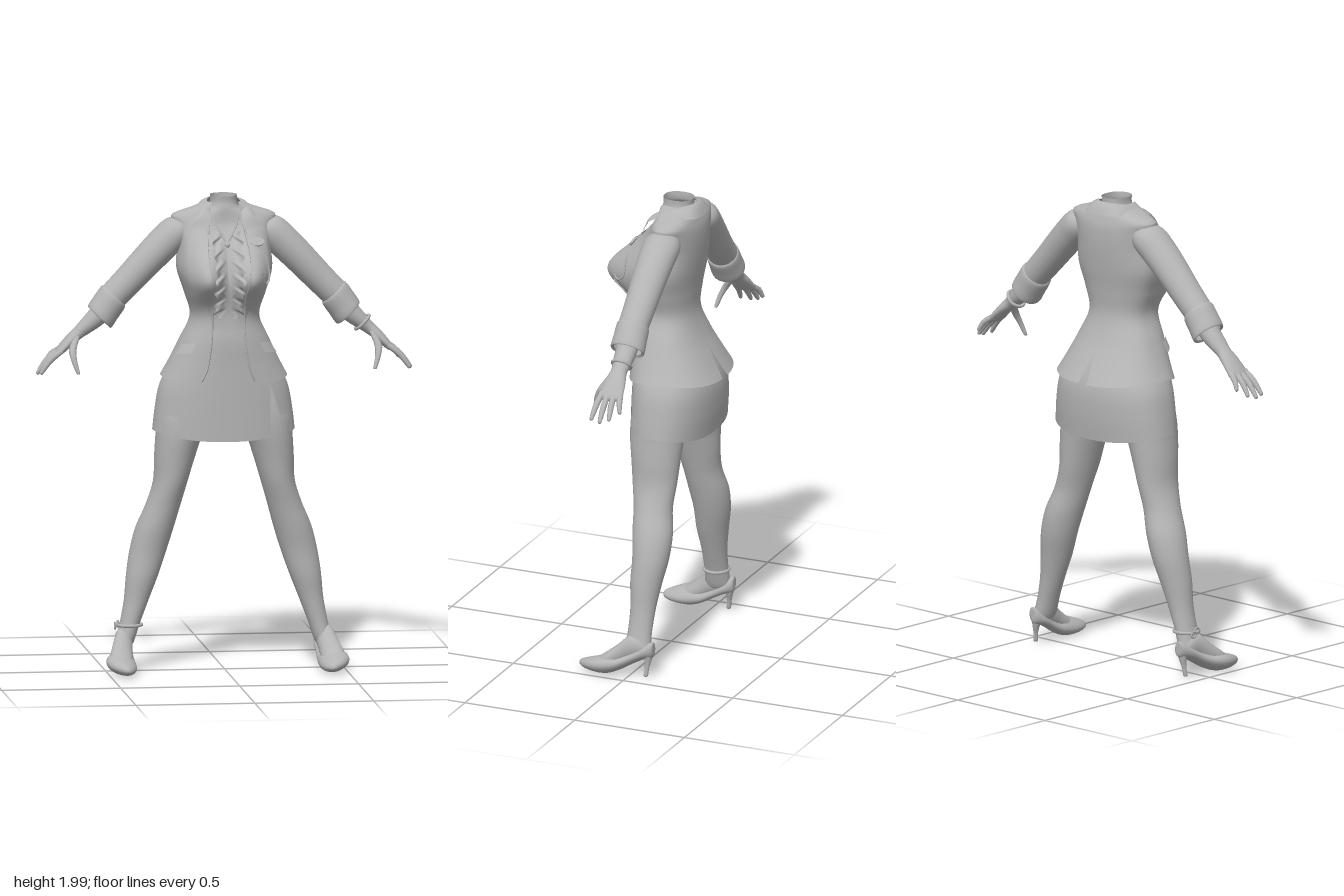
import * as THREE from 'three';
import { mergeGeometries, mergeVertices } from 'three/addons/utils/BufferGeometryUtils.js';

const clay = new THREE.MeshStandardMaterial({ color: 0xb4b4b4, side: THREE.DoubleSide });
clay.name = 'warm grey';
const V = (x, y, z) => new THREE.Vector3(x, y, z);
const E = 0.87; // ring squareness

// smooth interpolation of rows keyed by their first value
function at(rows, k) {
  k = Math.min(Math.max(k, rows[0][0]), rows[rows.length - 1][0]);
  let i = 0;
  while (i < rows.length - 2 && k > rows[i + 1][0]) i++;
  const a = rows[i], b = rows[i + 1], p = rows[i - 1] || a, n = rows[i + 2] || b;
  const h = b[0] - a[0], t = (k - a[0]) / h, t2 = t * t, t3 = t2 * t;
  return a.map((v, j) => {
    const m0 = (b[j] - p[j]) / (b[0] - p[0]), m1 = (n[j] - v) / (n[0] - a[0]);
    return (2 * t3 - 3 * t2 + 1) * v + (t3 - 2 * t2 + t) * h * m0 + (3 * t2 - 2 * t3) * b[j] + (t3 - t2) * h * m1;
  });
}

// sheet of points fn(u, v)
function grid(fn, nu, nv) {
  const pos = [], idx = [], r = nu + 1;
  for (let j = 0; j <= nv; j++) for (let i = 0; i <= nu; i++) pos.push(...fn(i / nu, j / nv).toArray());
  for (let j = 0; j < nv; j++) for (let i = 0; i < nu; i++) {
    const a = j * r + i;
    idx.push(a, a + 1, a + r, a + 1, a + r + 1, a + r);
  }
  const g = new THREE.BufferGeometry();
  g.setAttribute('position', new THREE.Float32BufferAttribute(pos, 3));
  g.setIndex(idx);
  return weld(g);
}
function weld(g) {
  g.deleteAttribute('normal');
  const w = mergeVertices(g, 1e-5);
  w.computeVertexNormals();
  return w;
}
function mirror(g) {
  const m = g.clone().scale(-1, 1, 1), ix = m.index.array;
  for (let i = 0; i < ix.length; i += 3) [ix[i], ix[i + 1]] = [ix[i + 1], ix[i]];
  return weld(m);
}
// tube of elliptical sections [x, y, z, ra, rb] spanned by axes A and B
function loft(rows, A, B, seg = 24, steps = 4) {
  const keyed = rows.map((r, i) => [i, ...r]), n = rows.length - 1;
  const dir = V(...rows[n].slice(0, 3)).sub(V(...rows[0].slice(0, 3)));
  const s = A.clone().cross(B).dot(dir) < 0 ? -1 : 1;
  return grid((u, v) => {
    const [, x, y, z, ra, rb] = at(keyed, v * n), t = u * Math.PI * 2 * s;
    return V(x, y, z).addScaledVector(A, Math.cos(t) * Math.max(ra, 0)).addScaledVector(B, Math.sin(t) * Math.max(rb, 0));
  }, seg, n * steps);
}

// torso rows: y, half width, centre z, front z, back z
const jacketRows = [
  [1.22, .278, -.04, .145, -.248], [1.3, .235, -.03, .145, -.2], [1.4, .187, -.02, .145, -.145],
  [1.5, .145, -.01, .135, -.112], [1.6, .17, -.01, .13, -.116], [1.7, .2, -.02, .105, -.13],
  [1.8, .195, -.03, .08, -.14], [1.88, .205, -.04, .05, -.14], [1.92, .215, -.045, .03, -.13],
  [1.95, .13, -.04, .03, -.12], [1.975, .07, -.035, .035, -.108]];
const shirtRows = [
  ...jacketRows.slice(2, 8).map(([y, w, c, f, b]) => [y, w - .012, c, f - .012, b + .012]),
  [1.915, .15, -.04, .035, -.115], [1.95, .068, -.036, .034, -.102], [1.975, .056, -.036, .028, -.099], [2, .056, -.036, .03, -.1]];
const skirtRows = [
  [.98, .3, -.04, .132, -.2], [1.1, .287, -.04, .132, -.212], [1.2, .268, -.04, .132, -.208],
  [1.3, .222, -.03, .132, -.175], [1.4, .173, -.02, .133, -.13], [1.46, .143, -.01, .126, -.1]];

// point on a torso ring; angle 0 is the front, PI/2 is +x
function ring(rows, y, th, off = 0) {
  const [, w, zc, zf, zb] = at(rows, y), s = Math.sin(th), c = Math.cos(th);
  const x = (w + off) * Math.sign(s) * Math.abs(s) ** E;
  let z = zc + ((c > 0 ? zf - zc : zc - zb) + off) * Math.sign(c) * Math.abs(c) ** E;
  if (c > 0 && y > 1.4) {
    const dy = (y - 1.68) / (y > 1.68 ? .13 : .1), dx = (Math.abs(x) - .1) / .09;
    z += .135 * Math.exp(-dx * dx - dy * dy) * Math.min(1, c * 2);
  }
  return V(x, y, z);
}
const angle = (rows, y, x) => Math.sign(x) * Math.asin(Math.min(.98, Math.abs(x) / at(rows, y)[1]) ** (1 / E));
const onRing = (rows, x, y, off) => ring(rows, y, angle(rows, y, x), off);
const gapRows = [[1.22, .125], [1.26, .098], [1.35, .078], [1.45, .068], [1.6, .07], [1.75, .09], [1.87, .075], [1.975, .055]];
const gap = y => at(gapRows, y)[1];

export function createModel() {
  const model = new THREE.Group();
  const add = (name, g) => {
    const m = new THREE.Mesh(g, clay);
    m.name = name;
    model.add(m);
    return m;
  };
  const pair = (name, g) => { add('left' + name, g); add('right' + name, mirror(g)); };
  const tube = (pts, r, n = 24) => new THREE.TubeGeometry(new THREE.CatmullRomCurve3(pts), n, r, 6);

  // jacket: two halves, open in front, vent at the back
  const half = grid((u, v) => {
    const hem = 1.225 + .02 * Math.sin(u * Math.PI) ** 2;
    const y = hem + (1.975 - hem) * v;
    const a = angle(jacketRows, y, gap(y)), b = Math.PI - Math.max(0, (1.35 - y) * .5);
    return ring(jacketRows, y, a + (b - a) * u);
  }, 40, 64);
  add('jacket', weld(mergeGeometries([half, mirror(half)])));

  // shirt with neck, skirt with a slit
  add('shirtAndNeck', grid((u, v) => ring(shirtRows, 1.4 + .6 * v, u * Math.PI * 2), 72, 56));
  add('skirt', grid((u, v) => {
    const g = .07 * Math.max(0, 1 - v / .49);
    const y0 = 1 + .46 * v;
    const a = angle(skirtRows, y0, .18 * Math.min(1, at(skirtRows, y0)[1] / .27) + g);
    const b = angle(skirtRows, y0, .18 * Math.min(1, at(skirtRows, y0)[1] / .27)) + Math.PI * 2;
    const th = a + (b - a) * u;
    const p = ring(skirtRows, y0, th);
    p.y += (.015 - .035 * Math.cos(th) ** 2) * (1 - v) ** 3;
    return p;
  }, 80, 36));
  add('waistband', grid((u, v) => ring(skirtRows, 1.425 + .035 * v, u * Math.PI * 2, .006), 60, 2));

  // collar band round the neck
  const sweep = h => new THREE.CatmullRomCurve3([...h.slice(1).reverse().map(p => V(-p.x, p.y, p.z)), ...h]);
  const inner = sweep([V(0, 1.985, -.112), V(.05, 1.983, -.092), V(.072, 1.968, -.03), V(.066, 1.925, .05), onRing(jacketRows, .07, 1.865, .02)]);
  const outer = sweep([V(0, 1.935, -.15), V(.085, 1.94, -.132), V(.118, 1.945, -.04), V(.128, 1.915, .05), onRing(jacketRows, .145, 1.865, .02)]);
  add('collar', grid((u, v) => {
    const p = inner.getPoint(u).lerp(outer.getPoint(u), v);
    p.y += .012 * Math.sin(v * Math.PI);
    return p;
  }, 48, 4));

  // lapels, edge piping, ruffles and pocket flaps
  pair('Lapel', grid((u, v) => {
    const y = 1.5 + .35 * v, w = v > .93 ? .06 : .075 * Math.min(1, v * 1.6 + .08);
    return onRing(jacketRows, gap(y) - .006 + w * u, y, .014 * (1 - u * .3));
  }, 6, 24));
  pair('JacketEdge', tube(Array.from({ length: 14 }, (_, i) => {
    const y = 1.235 + i * .05;
    return onRing(jacketRows, gap(y), y, 0);
  }), .004, 40));
  pair('Ruffle', grid((u, v) => {
    const y = 1.5 + .36 * v;
    const p = onRing(shirtRows, .015 + .04 * u + .006 * Math.sin(v * 45), y, .012);
    p.z += .012 * Math.sin(v * 38 + u * 5) * u;
    return p;
  }, 5, 60));
  add('shirtPlacket', grid((u, v) => onRing(shirtRows, (u - .5) * .022, 1.47 + .37 * v, .012), 2, 24));
  pair('VestPoint', grid((u, v) => onRing(shirtRows, .065 * u, 1.45 + .03 * Math.abs(u - .5) + .08 * v, .01), 8, 4));
  pair('PocketFlap', grid((u, v) => ring(jacketRows, 1.355 + .042 * v - .012 * u, .72 + .5 * u, .012 - .008 * v), 8, 3));

  // pendant, badge and ribbon loop
  pair('NecklaceSide', tube([V(.055, 1.95, .0), V(.045, 1.89, .055), onRing(shirtRows, .002, 1.81, .012)], .003));
  add('pendant', new THREE.SphereGeometry(.012, 12, 8)).position.copy(onRing(shirtRows, 0, 1.805, .012));
  const badge = add('badge', new THREE.CylinderGeometry(.03, .03, .009, 20));
  badge.position.copy(onRing(jacketRows, .11, 1.82, .02));
  badge.rotation.x = 1.0;
  badge.scale.z = .65;
  add('ribbonLoop', tube([[.12, 1.8], [.15, 1.75], [.16, 1.67], [.14, 1.65], [.125, 1.7]].map(([x, y]) => onRing(jacketRows, x, y, .012)), .004));

  // sleeves, cuffs and forearms
  const X = V(1, 0, 0), Y = V(0, 1, 0), Z = V(0, 0, 1), N = V(.72, .69, 0);
  pair('Sleeve', loft([[.15, 1.885, -.045, .035, .05], [.19, 1.855, -.045, .067, .078], [.25, 1.8, -.04, .07, .078],
    [.32, 1.73, -.036, .067, .073], [.4, 1.646, -.033, .063, .067], [.48, 1.565, -.03, .06, .064]], N, Z, 28));
  pair('Cuff', loft([[.458, 1.586, -.03, .055, .06], [.465, 1.577, -.03, .067, .07], [.495, 1.535, -.03, .068, .072],
    [.522, 1.495, -.03, .067, .074], [.52, 1.498, -.03, .055, .06]], N, Z));
  const M = V(.69, .72, 0);
  pair('Forearm', loft([[.46, 1.58, -.03, .047, .05], [.53, 1.5, -.03, .042, .046], [.58, 1.455, -.03, .033, .04], [.61, 1.43, -.03, .027, .035],
    [.645, 1.4, -.03, .023, .045], [.685, 1.36, -.03, .018, .052], [.705, 1.34, -.03, .011, .045], [.71, 1.335, -.03, 0, 0]], M, Z, 20));

  // fingers
  const digit = (a, b, c, r) => loft([...[[a, r], [b, r], [c, r * .65]].map(([p, k]) => [...p, k, k]), [...c, 0, 0]], M, Z, 10, 3);
  const tips = [[.742, 1.3, -.09], [.772, 1.275, -.055], [.784, 1.264, -.018], [.774, 1.268, .024]];
  const fingers = tips.map((t, i) => {
    const b = [.685, 1.36, -.07 + i * .027];
    return digit(b, [(b[0] + t[0]) / 2 + .006, (b[1] + t[1]) / 2 + .006, (b[2] + t[2]) / 2], t, .0125);
  });
  fingers.push(loft([[.62, 1.42, -.01, .014, .018], [.642, 1.365, .03, .016, .016], [.638, 1.32, .055, .012, .012], [.624, 1.272, .07, .008, .008], [.624, 1.27, .07, 0, 0]], X, Z, 10));
  pair('Fingers', mergeGeometries(fingers));
  const band = add('wristBand', new THREE.TorusGeometry(.04, .007, 8, 28));
  band.position.set(.583, 1.452, -.03);
  band.rotation.set(Math.PI / 2, -.75, 0, 'ZYX');
  band.lookAt(V(.583 + .7, 1.452 - .7, -.03));

  // legs
  pair('Leg', loft([[.11, 1.24, -.03, .1, .11], [.15, 1.1, -.025, .13, .125], [.187, 1, -.02, .1, .118], [.208, .9, -.022, .085, .107], [.225, .8, -.024, .072, .097],
    [.255, .7, -.03, .073, .084], [.29, .6, -.043, .08, .086], [.318, .5, -.047, .077, .078], [.343, .4, -.038, .067, .068],
    [.367, .3, -.035, .052, .055], [.395, .2, -.032, .042, .052], [.418, .12, -.03, .038, .055], [.42, .1, -.03, .02, .03]], X, Z, 28));

  // feet and heeled shoes: sections run from heel to toe
  const lean = g => {
    const p = g.attributes.position;
    for (let i = 0; i < p.count; i++) p.setY(i, p.getY(i) + (p.getX(i) - .44) * .15);
    g.computeVertexNormals();
    return g;
  };
  const along = (rows, seg) => lean(loft(rows.map(([z, x, w, lo, hi]) => [x, (lo + hi) / 2, z, w, (hi - lo) / 2]), X, Y, seg));
  pair('Foot', along([[-.085, .42, .02, .1, .14], [-.05, .42, .034, .09, .18], [0, .425, .038, .07, .185], [.05, .437, .044, .04, .14],
    [.1, .445, .048, .025, .1], [.15, .443, .03, .03, .065]], 20));
  pair('Shoe', along([[-.104, .418, 0, .135, .136], [-.1, .418, .022, .1, .168], [-.06, .42, .038, .085, .145], [-.01, .427, .043, .058, .112], [.04, .438, .055, .028, .09],
    [.09, .446, .063, .008, .088], [.14, .446, .06, .006, .076], [.19, .44, .04, .012, .06], [.218, .435, .018, .022, .048], [.226, .434, 0, .033, .034]], 28));
  pair('Heel', loft([[.418, .125, -.075, .028, .026], [.42, .09, -.08, .018, .017], [.426, .05, -.077, .01, .01], [.43, .014, -.073, .009, .009], [.43, .013, -.073, 0, 0]], X, Z, 12));

  // ankle strap with a small bow on the right leg
  const strap = add('ankleStrap', new THREE.TorusGeometry(.052, .007, 8, 32));
  strap.position.set(-.397, .195, -.032);
  strap.rotation.x = Math.PI / 2;
  for (const s of [-1, 1]) {
    const bow = add('strapBow', new THREE.TorusGeometry(.013, .004, 6, 14));
    bow.position.set(-.45 + s * .004, .195 + s * .006, -.035 + s * .014);
    bow.rotation.y = Math.PI / 2;
  }
  return model;
}
